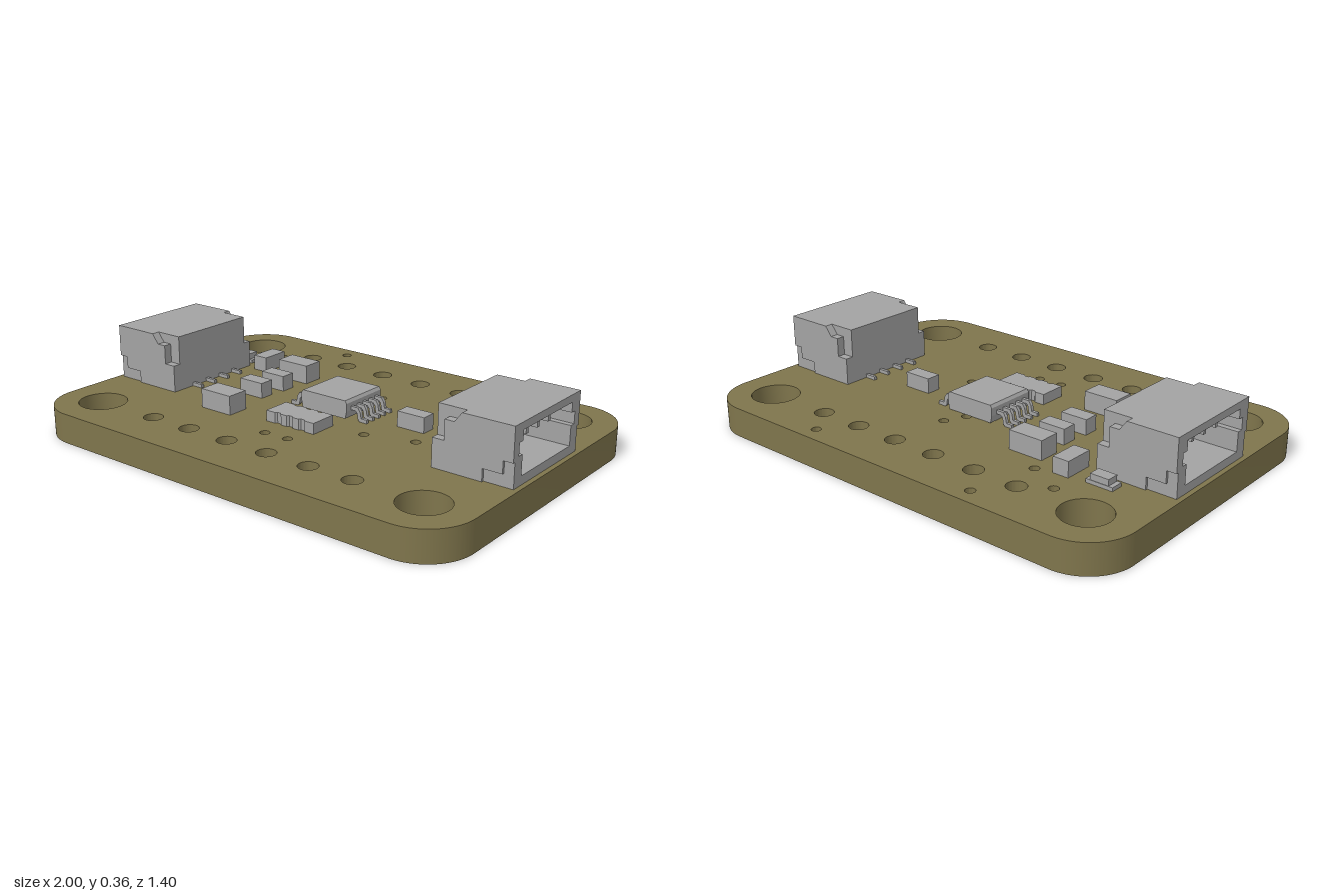
import * as THREE from 'three';
import { toCreasedNormals } from 'three/addons/utils/BufferGeometryUtils.js';

const TOP = 0.125; // upper face of the board

export function createModel() {
  const model = new THREE.Group();
  const olive = new THREE.MeshStandardMaterial({ color: 0x7f754c });
  olive.name = 'olive board';
  const grey = new THREE.MeshStandardMaterial({ color: 0xa3a3a3 });
  grey.name = 'component grey';

  const add = (parent, name, geometry, material = grey) => {
    const mesh = new THREE.Mesh(geometry, material);
    mesh.name = name;
    parent.add(mesh);
    return mesh;
  };
  // Box given by its limits on each axis
  const box = (parent, name, x0, x1, y0, y1, z0, z1) => {
    const g = new THREE.BoxGeometry(x1 - x0, y1 - y0, z1 - z0);
    g.translate((x0 + x1) / 2, (y0 + y1) / 2, (z0 + z1) / 2);
    return add(parent, name, g);
  };
  const polygon = (points) => new THREE.Shape(points.map(([x, y]) => new THREE.Vector2(x, y)));
  const extrude = (shape, depth, curveSegments = 12) =>
    new THREE.ExtrudeGeometry(shape, { depth, bevelEnabled: false, curveSegments });

  // Board with rounded corners, mounting holes, header holes and vias
  const outline = new THREE.Shape();
  outline.absarc(0.8, 0.5, 0.2, 0, Math.PI / 2);
  outline.absarc(-0.8, 0.5, 0.2, Math.PI / 2, Math.PI);
  outline.absarc(-0.8, -0.5, 0.2, Math.PI, Math.PI * 1.5);
  outline.absarc(0.8, -0.5, 0.2, Math.PI * 1.5, Math.PI * 2);
  const hole = (x, z, r) => {
    const path = new THREE.Path();
    path.absarc(x, -z, r, 0, Math.PI * 2, true);
    outline.holes.push(path);
  };
  for (const z of [-0.5, 0.5]) {
    for (const x of [-0.8, 0.8]) hole(x, z, 0.1);
    for (let i = 0; i < 6; i++) hole(-0.5 + i * 0.2, z, 0.04);
  }
  const vias = [
    [-0.4, -0.63], [0.4, -0.63], [-0.61, -0.43], [-0.46, -0.35], [0.08, -0.25],
    [0.27, 0.13], [0.47, 0.07], [-0.04, 0.35], [0.07, 0.345], [0.04, -0.16],
    [-0.04, -0.12], [-0.03, -0.04], [0.88, -0.01], [0.71, -0.045], [0.7, -0.115],
    [-0.79, 0.055], [-0.72, -0.11],
  ];
  vias.forEach(([x, z]) => hole(x, z, 0.02));
  const boardGeometry = extrude(outline, TOP, 24);
  boardGeometry.rotateX(-Math.PI / 2);
  add(model, 'circuitBoard', toCreasedNormals(boardGeometry, 0.6), olive);

  // Socket connector opening towards -x; the other one is turned half round
  const makeConnector = (name) => {
    const c = new THREE.Group();
    c.name = name;
    const shell = polygon([[-0.2, TOP], [0.2, TOP], [0.2, 0.36], [-0.2, 0.36]]);
    shell.holes.push(polygon([
      [-0.175, 0.16], [-0.175, 0.24], [-0.199, 0.24], [-0.199, 0.29], [-0.175, 0.29], [-0.175, 0.33],
      [0.175, 0.33], [0.175, 0.29], [0.199, 0.29], [0.199, 0.24], [0.175, 0.24], [0.175, 0.16],
    ]));
    const shellGeometry = extrude(shell, 0.26);
    shellGeometry.rotateY(Math.PI / 2);
    shellGeometry.translate(-0.98, 0, 0);
    add(c, 'socketShell', shellGeometry);
    box(c, 'socketBack', -0.72, -0.65, TOP, 0.36, -0.2, 0.2);

    // Side cheeks with a stepped cut at the inner top and the outer bottom
    const cheek = polygon([
      [-0.86, TOP], [-0.65, TOP], [-0.65, 0.24], [-0.7, 0.24], [-0.7, 0.32], [-0.74, 0.32],
      [-0.77, 0.36], [-0.98, 0.36], [-0.98, 0.225], [-0.94, 0.225], [-0.94, 0.175], [-0.86, 0.175],
    ]);
    const tab = polygon([
      [-0.98, TOP], [-0.86, TOP], [-0.86, 0.175], [-0.94, 0.175], [-0.94, 0.225], [-0.98, 0.225],
    ]);
    for (const side of [-1, 1]) {
      add(c, 'sideCheek', extrude(cheek, 0.035)).position.z = side > 0 ? 0.2 : -0.235;
      add(c, 'solderTab', extrude(tab, 0.025)).position.z = side > 0 ? 0.2 : -0.225;
    }

    // Contacts inside and solder feet behind
    for (let i = 0; i < 4; i++) {
      const z = -0.12 + i * 0.08;
      box(c, 'contact', -0.92, -0.72, 0.26, 0.295, z - 0.008, z + 0.008);
      box(c, 'solderFoot', -0.65, -0.6, TOP, 0.14, z - 0.007, z + 0.007);
    }
    model.add(c);
    return c;
  };
  makeConnector('rightConnector');
  makeConnector('leftConnector').rotation.y = Math.PI;

  // Small block components: x0, x1, z0, z1, top
  const blocks = [
    [-0.44, -0.285, -0.285, -0.195, 0.205], [-0.43, -0.275, 0.2, 0.295, 0.205],
    [-0.42, -0.3, -0.125, -0.06, 0.19], [-0.43, -0.31, 0, 0.065, 0.19],
    [-0.6, -0.53, -0.335, -0.21, 0.19], [0.32, 0.445, -0.085, -0.02, 0.19],
  ];
  blocks.forEach(([x0, x1, z0, z1, top]) => box(model, 'chipComponent', x0, x1, TOP, top, z0, z1));

  // Indicator lamp: thin base with a raised lens block
  const lamp = new THREE.Group();
  lamp.name = 'indicatorLamp';
  box(lamp, 'lampBase', -0.78, -0.665, TOP, 0.14, -0.32, -0.265);
  box(lamp, 'lampLens', -0.762, -0.682, 0.14, 0.165, -0.318, -0.267);
  model.add(lamp);

  // Resistor array with shallow notches along both long edges
  const edge = [[-0.12, 0]];
  for (const x of [-0.06, 0, 0.06]) {
    edge.push([x - 0.015, 0], [x - 0.008, 0.008], [x + 0.008, 0.008], [x + 0.015, 0]);
  }
  edge.push([0.12, 0]);
  const arrayShape = polygon([
    ...edge.map(([x, d]) => [x, -0.06 + d]),
    ...[...edge].reverse().map(([x, d]) => [x, 0.06 - d]),
  ]);
  const arrayGeometry = extrude(arrayShape, 0.045);
  arrayGeometry.rotateX(-Math.PI / 2);
  add(model, 'resistorArray', arrayGeometry).position.set(0, TOP, 0.19);

  // Main chip: bevelled body with five gull-wing leads on each side
  const chip = new THREE.Group();
  chip.name = 'mainChip';
  chip.position.set(0.0175, 0, -0.0525);
  const bodyGeometry = extrude(polygon([
    [-0.108, 0.135], [0.108, 0.135], [0.115, 0.165], [0.115, 0.198],
    [0.107, 0.21], [-0.107, 0.21], [-0.115, 0.198], [-0.115, 0.165],
  ]), 0.226);
  bodyGeometry.translate(0, 0, -0.113);
  add(chip, 'chipBody', bodyGeometry);
  const lead = polygon([
    [0.11, 0.167], [0.138, 0.167], [0.146, 0.158], [0.15, 0.133], [0.158, TOP], [0.193, TOP],
    [0.193, 0.14], [0.166, 0.14], [0.161, 0.165], [0.15, 0.182], [0.11, 0.182],
  ]);
  for (const turn of [0, Math.PI]) {
    for (let i = -2; i <= 2; i++) {
      const geometry = extrude(lead, 0.014);
      geometry.translate(0, 0, -0.007);
      geometry.rotateY(turn);
      add(chip, 'chipLead', geometry).position.z = i * 0.039;
    }
  }
  model.add(chip);

  return model;
}
